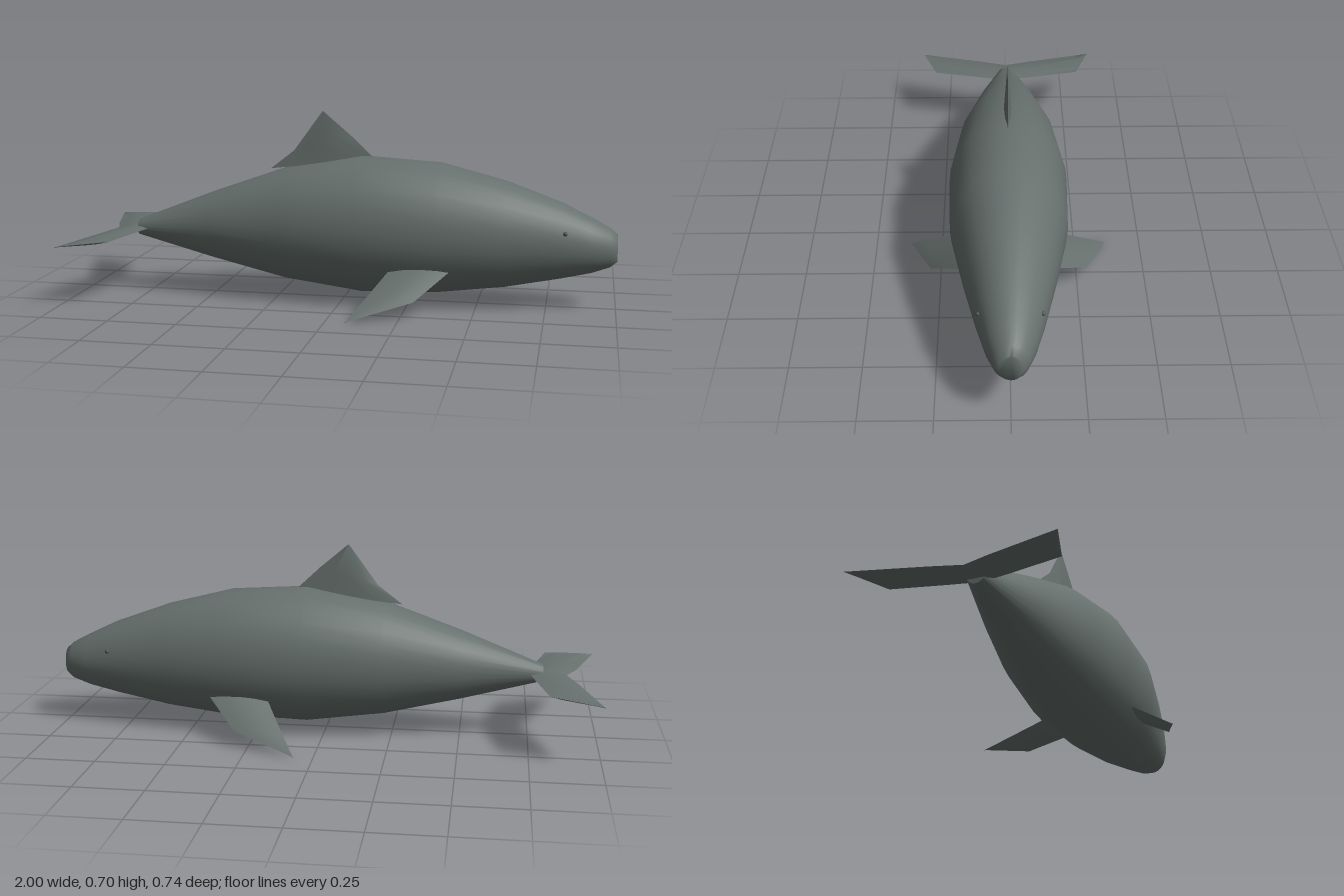
import * as THREE from 'three';
import { toCreasedNormals } from 'three/addons/utils/BufferGeometryUtils.js';

const V = (x, y, z) => new THREE.Vector3(x, y, z);

// Skin a closed surface over equally sized rings of points, capping both ends.
function loft(rings) {
  const n = rings[0].length;
  const pts = rings.flat();
  let tris = [];
  for (let i = 0; i < rings.length - 1; i++) {
    for (let j = 0; j < n; j++) {
      const a = i * n + j, b = i * n + (j + 1) % n;
      tris.push([a, b, b + n], [a, b + n, a + n]);
    }
  }
  const last = (rings.length - 1) * n;
  for (let j = 1; j < n - 1; j++) tris.push([0, j + 1, j], [last, last + j, last + j + 1]);
  // Turn the faces outwards if the rings run the other way round.
  const volume = tris.reduce((s, [a, b, c]) => s + pts[a].dot(pts[b].clone().cross(pts[c])), 0);
  if (volume < 0) tris = tris.map(([a, b, c]) => [a, c, b]);
  const g = new THREE.BufferGeometry().setFromPoints(pts);
  g.setIndex(tris.flat());
  return toCreasedNormals(g, Math.PI / 3);
}

// Fin from sections [leading point, trailing point, half thickness], lens-shaped across.
function fin(sections, normal) {
  const steps = [0, 0.25, 0.5, 0.75, 1, 0.75, 0.5, 0.25];
  return loft(sections.map(([lead, trail, t]) => steps.map((u, i) =>
    lead.clone().lerp(trail, u).addScaledVector(normal, (i < 4 ? 1 : -1) * t * 4 * u * (1 - u)))));
}

export function createModel() {
  const model = new THREE.Group();
  const skin = new THREE.MeshStandardMaterial({ color: 0x66706d });
  skin.name = 'grey skin';
  const dark = new THREE.MeshStandardMaterial({ color: 0x4a5250 });
  dark.name = 'dark eye';
  const add = (name, geometry, material = skin) => {
    const mesh = new THREE.Mesh(geometry, material);
    mesh.name = name;
    model.add(mesh);
    return mesh;
  };

  // Body: elliptical stations as x, top, bottom, half width
  const stations = [
    [-0.8, 0.275, 0.215, 0.033], [-0.5, 0.393, 0.138, 0.115], [-0.22, 0.492, 0.073, 0.182],
    [0.07, 0.542, 0.035, 0.217], [0.36, 0.524, 0.044, 0.208], [0.6, 0.463, 0.073, 0.161],
    [0.8, 0.39, 0.112, 0.116], [0.91, 0.337, 0.137, 0.086], [0.975, 0.302, 0.16, 0.06],
    [1, 0.28, 0.18, 0.04],
  ];
  add('body', loft(stations.map(([x, top, bottom, w]) => Array.from({ length: 28 }, (_, i) => {
    const a = i / 28 * Math.PI * 2;
    return V(x, (top + bottom) / 2 + Math.cos(a) * (top - bottom) / 2, Math.sin(a) * w);
  }))));

  // Dorsal fin
  add('dorsalFin', fin([
    [V(0.11, 0.535, 0), V(-0.28, 0.485, 0), 0.014],
    [V(0.025, 0.615, 0), V(-0.19, 0.555, 0), 0.009],
    [V(-0.08, 0.704, 0), V(-0.083, 0.702, 0), 0.0005],
  ], V(0, 0, 1)));

  for (const s of [1, -1]) {
    const side = s > 0 ? 'Right' : 'Left';

    // Pectoral fin, sloping down, out and back
    add('pectoralFin' + side, fin([
      [V(0.41, 0.152, 0.168 * s), V(0.195, 0.15, 0.17 * s), 0.014],
      [V(0.3, 0.067, 0.285 * s), V(0.125, 0.067, 0.285 * s), 0.009],
      [V(0.072, 0.006, 0.37 * s), V(0.07, 0.004, 0.37 * s), 0.0005],
    ], V(0, 0.81, 0.59 * s)));

    // Tail fluke
    add('tailFluke' + side, fin([
      [V(-0.745, 0.247, 0), V(-0.885, 0.238, 0), 0.012],
      [V(-0.766, 0.246, 0.1 * s), V(-0.925, 0.232, 0.1 * s), 0.011],
      [V(-0.815, 0.243, 0.3 * s), V(-0.983, 0.228, 0.3 * s), 0.008],
      [V(-0.998, 0.229, 0.36 * s), V(-1, 0.227, 0.36 * s), 0.0005],
    ], V(0, 1, 0)));

    // Eye
    const eye = add('eye' + side, new THREE.SphereGeometry(0.008, 12, 8), dark);
    eye.position.set(0.815, 0.295, 0.105 * s);
  }
  return model;
}
